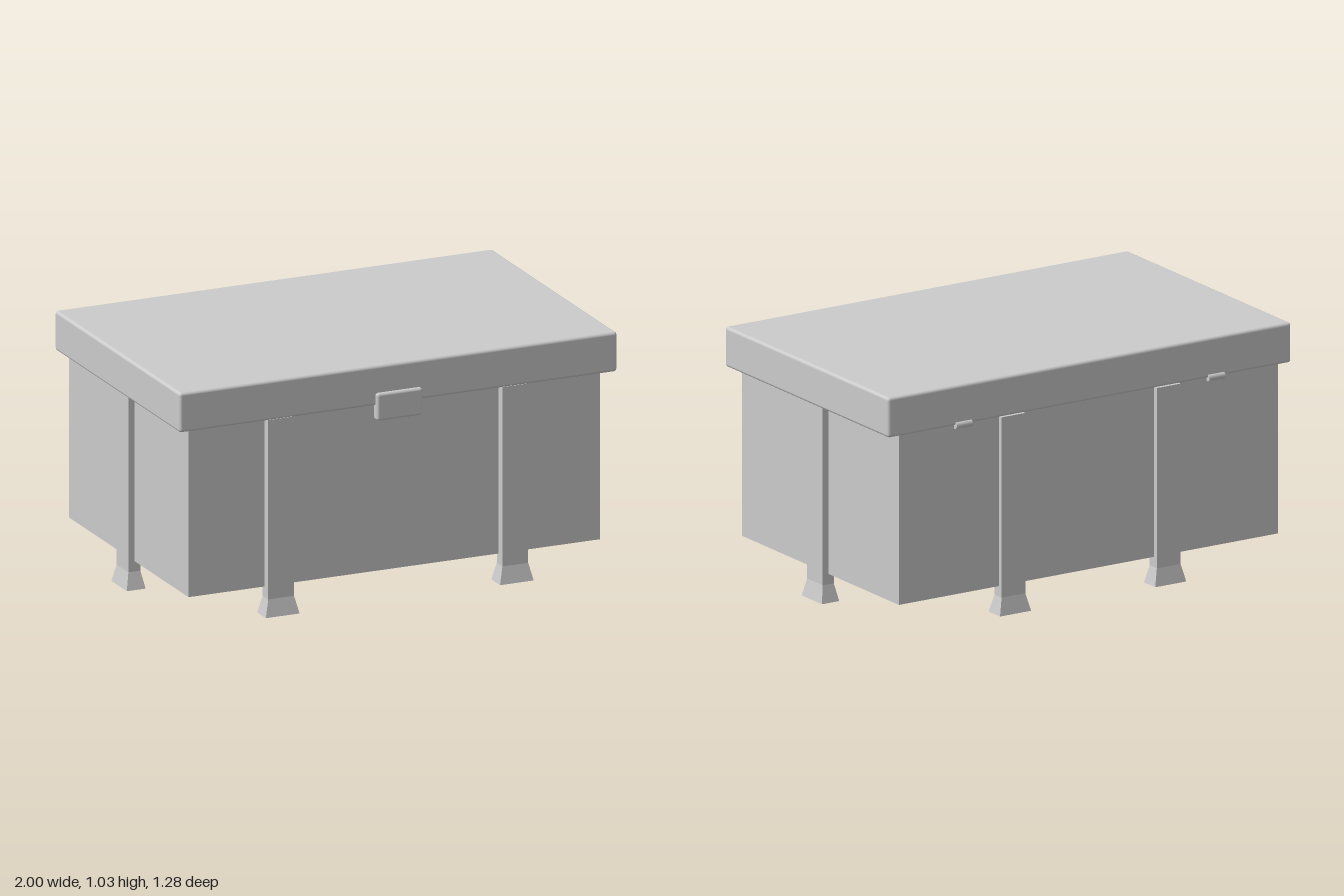
import * as THREE from 'three';
import { RoundedBoxGeometry } from 'three/addons/geometries/RoundedBoxGeometry.js';

const material = new THREE.MeshStandardMaterial({ color: 0xcccccc });

// Box given by its min and max corners, optionally with rounded edges
function block(name, min, max, radius = 0) {
  const size = max.map((v, i) => v - min[i]);
  const geometry = radius
    ? new RoundedBoxGeometry(...size, 3, radius)
    : new THREE.BoxGeometry(...size);
  const mesh = new THREE.Mesh(geometry, material);
  mesh.name = name;
  mesh.position.set(...max.map((v, i) => (v + min[i]) / 2));
  return mesh;
}

// Flat post whose bottom flares out into a foot
function legGeometry() {
  const top = 0.857, ankle = 0.075;
  const box = new THREE.BoxGeometry(0.118, top, 0.055, 1, 2, 1);
  const p = box.attributes.position;
  for (let i = 0; i < p.count; i++) {
    const y = p.getY(i);
    if (y > 0.1) p.setY(i, top);
    else if (y > -0.1) p.setY(i, ankle);
    else p.setXYZ(i, Math.sign(p.getX(i)) * 0.077, 0, Math.sign(p.getZ(i)) * 0.043);
  }
  const flat = box.toNonIndexed();
  flat.computeVertexNormals();
  return flat;
}

export function createModel() {
  const model = new THREE.Group();
  model.name = 'chest';

  model.add(block('body', [-0.94, 0.12, -0.603], [0.94, 0.862, 0.586]));
  model.add(block('lid', [-1, 0.855, -0.615], [1, 1.028, 0.627], 0.013));
  model.add(block('latch', [-0.105, 0.79, 0.603], [0.105, 0.91, 0.643], 0.012));

  const leg = legGeometry();
  const addLeg = (name, x, z, turn) => {
    const mesh = new THREE.Mesh(leg, material);
    mesh.name = name;
    mesh.position.set(x, 0, z);
    mesh.rotation.y = turn;
    model.add(mesh);
  };

  const hinge = new THREE.CylinderGeometry(0.015, 0.015, 0.08, 16);
  for (const side of [1, -1]) {
    const label = side > 0 ? 'Left' : 'Right';
    addLeg('front' + label + 'Leg', side * 0.535, 0.597, 0);
    addLeg('back' + label + 'Leg', side * 0.385, -0.597, 0);
    addLeg('middle' + label + 'Leg', side * 0.941, -0.01, Math.PI / 2);

    // Hinge barrels along the rear seam
    const barrel = new THREE.Mesh(hinge, material);
    barrel.name = 'hinge' + label;
    barrel.rotation.z = Math.PI / 2;
    barrel.position.set(side * 0.627, 0.855, -0.611);
    model.add(barrel);
  }
  return model;
}
